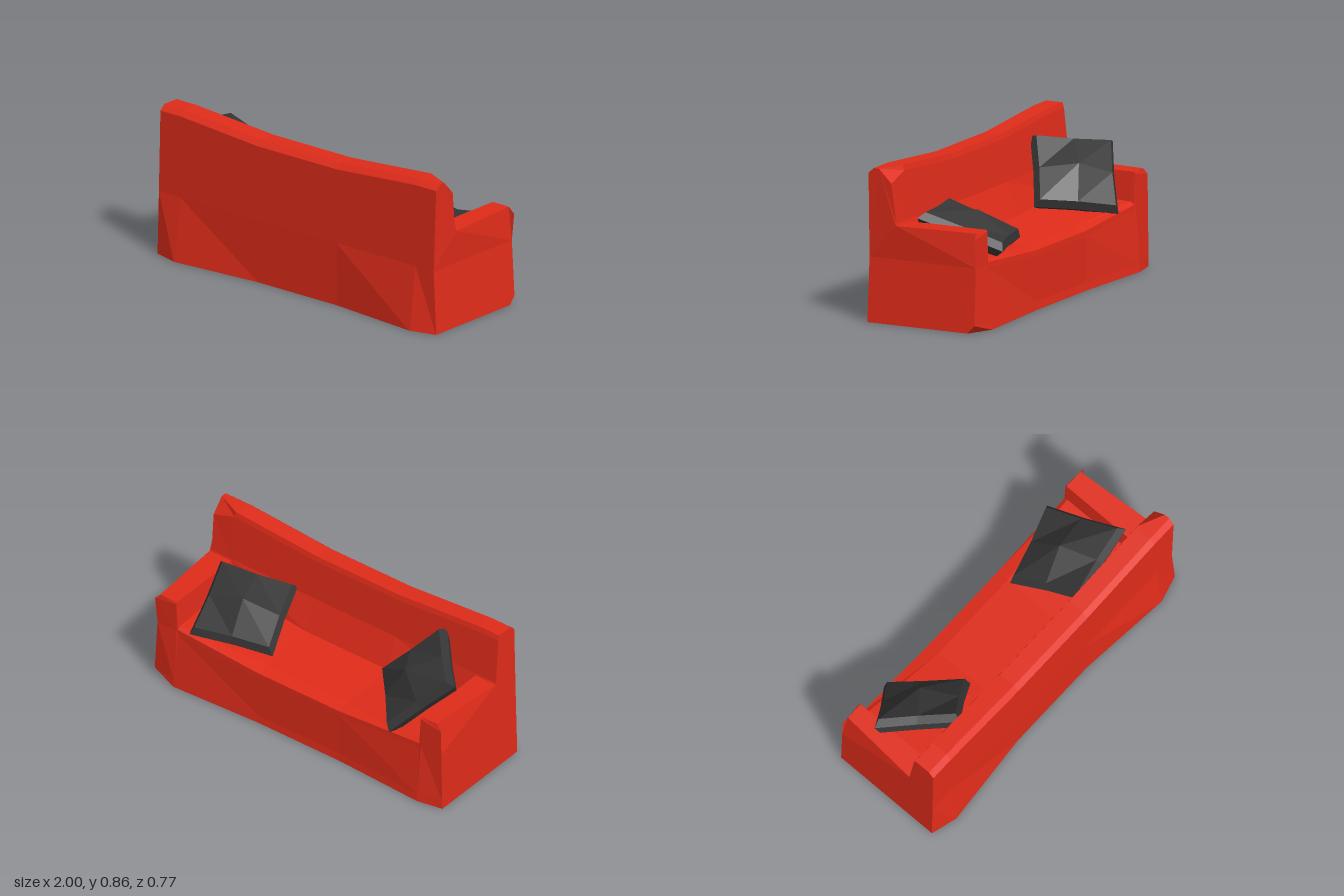
import * as THREE from 'three';

const red = new THREE.MeshStandardMaterial({ color: 0xe02c1a, flatShading: true });
const dark = new THREE.MeshStandardMaterial({ color: 0x363636, flatShading: true });

// Skin a series of rings (counter-clockwise seen from the last ring) and cap both ends.
function loft(rings, flatten) {
  const n = rings[0].length, last = (rings.length - 1) * n, index = [];
  for (let i = 0; i < rings.length - 1; i++) {
    for (let j = 0; j < n; j++) {
      const a = i * n + j, b = i * n + (j + 1) % n;
      index.push(a, b, b + n, a, b + n, a + n);
    }
  }
  for (const [ring, start, flip] of [[rings[0], 0, true], [rings.at(-1), last, false]]) {
    for (const [a, b, c] of THREE.ShapeUtils.triangulateShape(ring.map(flatten), [])) {
      index.push(start + a, start + (flip ? c : b), start + (flip ? b : c));
    }
  }
  const indexed = new THREE.BufferGeometry().setFromPoints(rings.flat());
  indexed.setIndex(index);
  const geometry = indexed.toNonIndexed();
  geometry.computeVertexNormals();
  return geometry;
}

function part(name, geometry, material) {
  const mesh = new THREE.Mesh(geometry, material);
  mesh.name = name;
  return mesh;
}

// How far each end of the sofa reaches at a given height: pinched at the waist on the left.
function endX(side, y) {
  if (side < 0) return 0.989 - 0.02 * y;
  return y < 0.36 ? 0.991 - 0.02 * y / 0.36 : 0.971 + 0.017 * (y - 0.36) / 0.5;
}

// Seat, arms and backrest as one skin: side profiles swept from end to end.
function frameGeometry() {
  // Each surface is given as [z, y].
  const seat = {
    x: 0.83, foot: -0.362, back: 0.366, top: 0.857, drop: 0.03, topFront: 0.188,
    surface: [[-0.333, 0.34], [-0.332, 0.37], [-0.31, 0.385], [0.12, 0.405], [0.153, 0.56]],
  };
  const middle = {
    ...seat, x: 0.28, foot: -0.335, back: 0.317, top: 0.815,
    surface: [[-0.331, 0.3], [-0.33, 0.33], [-0.255, 0.345], [0.09, 0.365], [0.158, 0.55]],
  };
  const armInside = {
    ...seat, x: 0.84,
    surface: [[-0.334, 0.36], [-0.333, 0.54], [-0.327, 0.55], [0.15, 0.55], [0.153, 0.56]],
  };
  const armOutside = {
    ...armInside, x: null, foot: -0.333, back: 0.325,
    surface: [[-0.332, 0.36], [-0.332, 0.515], [-0.325, 0.55], [0.15, 0.55], [0.153, 0.56]],
  };
  // The left end has a clipped foot and a clipped top corner.
  const leftEnd = { ...armOutside, foot: -0.292, drop: 0.077, topFront: 0.255 };

  const ring = (s, side) => [
    [s.foot, 0],
    [s.x ? s.foot + 0.004 : -0.333, 0.045],
    ...s.surface,
    [0.18, s.top - s.drop],
    [s.topFront, s.top],
    [0.288, s.top],
    [0.32, s.top - 0.03],
    [0.322, 0.36],
    [s.back, 0],
  ].map(([z, y], i) => {
    const bulge = side > 0 && i > 2 && i < 6 ? 0.011 : 0;
    const clip = i === 4 ? 0.035 : 0;
    return new THREE.Vector3(side * (s.x ?? endX(side, y) + bulge - clip), y, z);
  });

  const rings = [
    ring(armOutside, -1), ring(armInside, -1), ring(seat, -1), ring(middle, -1),
    ring(middle, 1), ring(seat, 1), ring(armInside, 1), ring(leftEnd, 1),
  ];
  return loft(rings, p => new THREE.Vector2(-p.z, p.y));
}

// Cushion: a subdivided box stretched between four corners, plump in the middle.
function cushionGeometry(corners) {
  const [a, b, c, d] = corners.map(p => new THREE.Vector3(...p));
  const across = b.clone().sub(a).add(c).sub(d);
  const along = d.clone().sub(a).add(c).sub(b);
  const normal = across.cross(along).normalize();
  const box = new THREE.BoxGeometry(2, 2, 2, 2, 2, 2);
  const pos = box.attributes.position, p = new THREE.Vector3();
  for (let i = 0; i < pos.count; i++) {
    const w = pos.getZ(i), inset = 1 - 0.1 * Math.abs(w);
    const x0 = pos.getX(i), y0 = pos.getY(i);
    const pinch = x0 === 0 || y0 === 0 ? 0.97 : 1;
    const u = (x0 * inset * pinch + 1) / 2, v = (y0 * inset * pinch + 1) / 2;
    const thick = 0.042 + 0.065 * (1 - x0 * x0) * (1 - y0 * y0);
    p.set(0, 0, 0)
      .addScaledVector(a, (1 - u) * (1 - v)).addScaledVector(b, u * (1 - v))
      .addScaledVector(c, u * v).addScaledVector(d, (1 - u) * v)
      .addScaledVector(normal, w * thick);
    pos.setXYZ(i, p.x, p.y, p.z);
  }
  const geometry = box.toNonIndexed();
  geometry.computeVertexNormals();
  return geometry;
}

export function createModel() {
  const model = new THREE.Group();
  model.name = 'sofa';

  // Upholstered frame, turned very slightly
  const frame = part('seatArmsAndBackrest', frameGeometry(), red);
  frame.rotation.y = -0.028;
  model.add(frame);

  // Loose cushions leaning against the back and the right arm
  model.add(part('leftCushion', cushionGeometry(
    [[0.27, 0.39, -0.215], [0.395, 0.565, 0.185], [0.86, 0.575, 0.11], [0.735, 0.41, -0.345]]), dark));
  model.add(part('rightCushion', cushionGeometry(
    [[-0.62, 0.36, -0.36], [-0.32, 0.42, 0], [-0.615, 0.74, 0.175], [-0.925, 0.685, -0.17]]), dark));
  return model;
}
